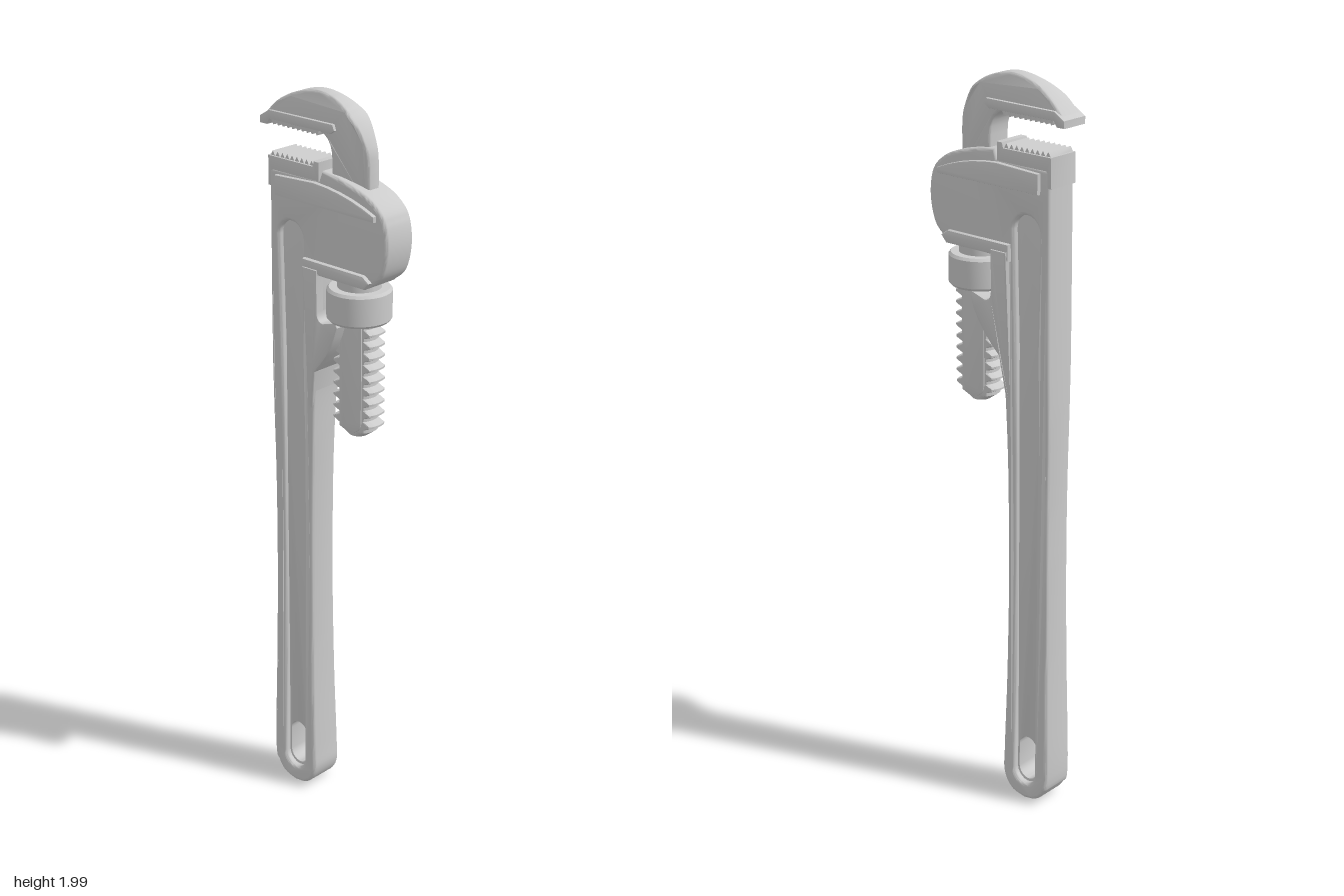
import * as THREE from 'three';
import { toCreasedNormals } from 'three/addons/utils/BufferGeometryUtils.js';

const material = new THREE.MeshStandardMaterial({ color: 0xcccccc });
const V = (list) => list.map(([x, y]) => new THREE.Vector2(x, y));

// Piecewise linear lookup through [position, value] pairs
function ramp(stops, t) {
  for (let i = 1; i < stops.length; i++) {
    const [a, va] = stops[i - 1], [b, vb] = stops[i];
    if (t <= b) return va + (vb - va) * THREE.MathUtils.clamp((t - a) / (b - a), 0, 1);
  }
  return stops[stops.length - 1][1];
}

// Slab centred on z = 0; halfAt(x, y), if given, sets the local half thickness
function slab(name, shape, half, bevel = 0.004, halfAt = null, steps = 2) {
  const g = new THREE.ExtrudeGeometry(shape, {
    depth: 2 * (half - bevel), bevelEnabled: bevel > 0, bevelThickness: bevel,
    bevelSize: bevel, bevelOffset: -bevel, bevelSegments: steps, curveSegments: 5,
  });
  g.translate(0, 0, bevel - half);
  if (halfAt) {
    const p = g.attributes.position;
    for (let i = 0; i < p.count; i++) p.setZ(i, p.getZ(i) * halfAt(p.getX(i), p.getY(i)) / half);
  }
  const mesh = new THREE.Mesh(toCreasedNormals(g, 0.6), material);
  mesh.name = name;
  return mesh;
}

// Long rounded outline around x = -0.11, with a slight waist
function stadium(Path, y0, y1, r0, r1, waist) {
  const s = new Path(), cx = -0.11, h = y1 - y0;
  s.absarc(cx, y0, r0, Math.PI, 2 * Math.PI, false);
  if (waist) for (const t of [0.2, 0.4, 0.6, 0.8]) s.lineTo(cx + waist, y0 + h * t);
  s.absarc(cx, y1, r1, 0, Math.PI, false);
  if (waist) for (const t of [0.8, 0.6, 0.4, 0.2]) s.lineTo(cx - waist, y0 + h * t);
  s.closePath();
  return s;
}

// Row of teeth; height is negative for teeth pointing down
function teeth(name, x0, x1, y, height, count, half) {
  const pts = [[x0, y - height], [x0, y]], w = (x1 - x0) / count;
  for (let i = 0; i < count; i++) {
    pts.push([x0 + (i + 0.5) * w, y + height], [x0 + (i + 1) * w, y]);
  }
  pts.push([x1, y - height]);
  return slab(name, new THREE.Shape(V(pts)), half, 0);
}

export function createModel() {
  const group = new THREE.Group();

  // Handle and head in one casting, with the long recess cut through the rim
  const body = new THREE.Shape();
  body.moveTo(-0.11, 0.008);
  body.splineThru(V([[-0.065, 0.02], [-0.036, 0.065], [-0.036, 0.15], [-0.043, 0.4],
    [-0.045, 0.8], [-0.037, 1.15], [-0.025, 1.28], [-0.005, 1.38]]));
  body.lineTo(-0.005, 1.548);
  body.lineTo(0.155, 1.548);
  body.splineThru(V([[0.198, 1.585], [0.216, 1.655], [0.206, 1.725], [0.17, 1.765], [0.12, 1.788], [0.05, 1.806]]));
  body.lineTo(-0.002, 1.812);
  body.lineTo(-0.012, 1.788);
  body.lineTo(-0.182, 1.785);
  body.splineThru(V([[-0.184, 1.2], [-0.181, 0.8], [-0.185, 0.4], [-0.19, 0.1],
    [-0.175, 0.045], [-0.15, 0.018], [-0.11, 0.008]]));
  body.holes.push(stadium(THREE.Path, 0.09, 1.62, 0.036, 0.042, 0.034));
  const thickness = [[0, 0.05], [0.2, 0.048], [0.6, 0.042], [1.0, 0.042], [1.3, 0.048], [2, 0.048]];
  group.add(slab('handleAndHead', body, 0.048, 0.009, (x, y) => ramp(thickness, y), 3));

  // Floor of the recess with the hanging slot
  const floor = stadium(THREE.Shape, 0.09, 1.62, 0.05, 0.055, 0.046);
  floor.holes.push(stadium(THREE.Path, 0.092, 0.16, 0.03, 0.03, 0));
  group.add(slab('recessFloor', floor, 0.031, 0.002));

  // Raised wedge on both faces of the head
  const wedge = new THREE.Shape(V([[-0.155, 1.722], [0.18, 1.722], [0.18, 1.737]]));
  wedge.quadraticCurveTo(0.09, 1.777, -0.02, 1.782);
  wedge.lineTo(-0.155, 1.775);
  group.add(slab('headPanel', wedge, 0.059, 0.004));

  // Ledge along the bottom of the head
  const ledge = new THREE.Shape(V([[-0.06, 1.535], [-0.005, 1.545], [0.15, 1.545],
    [0.168, 1.565], [0.145, 1.58], [-0.06, 1.58]]));
  group.add(slab('headLedge', ledge, 0.06, 0.006));

  // Bracket that supports the nut from the handle
  const bracket = new THREE.Shape(V([[-0.056, 1.15], [-0.042, 1.15], [-0.025, 1.28]]));
  bracket.quadraticCurveTo(0.045, 1.35, 0.065, 1.425);
  bracket.lineTo(0.058, 1.438);
  bracket.lineTo(0.015, 1.425);
  bracket.quadraticCurveTo(-0.005, 1.425, -0.005, 1.45);
  bracket.lineTo(-0.005, 1.56);
  bracket.lineTo(-0.056, 1.56);
  const flare = [[1.15, 0.043], [1.28, 0.055], [1.4, 0.064], [1.6, 0.064]];
  group.add(slab('nutBracket', bracket, 0.064, 0.005, (x, y) => ramp(flare, y)));

  // Fixed lower jaw
  const heel = new THREE.Shape(V([[-0.188, 1.74], [-0.175, 1.74], [-0.172, 1.782],
    [-0.012, 1.782], [-0.012, 1.832], [-0.03, 1.832], [-0.034, 1.818], [-0.188, 1.818]]));
  group.add(slab('lowerJaw', heel, 0.047, 0.003));
  group.add(teeth('lowerTeeth', -0.183, -0.032, 1.816, 0.014, 9, 0.042));

  // Hook jaw, thinner toward its outer curve
  const hook = new THREE.Shape(V([[0.02, 1.74], [0.13, 1.74], [0.13, 1.84]]));
  hook.splineThru(V([[0.123, 1.885], [0.09, 1.945], [0.04, 1.982], [-0.03, 2.0],
    [-0.1, 1.99], [-0.165, 1.96], [-0.212, 1.915]]));
  hook.lineTo(-0.2, 1.905);
  hook.lineTo(-0.02, 1.905);
  hook.quadraticCurveTo(0.02, 1.895, 0.02, 1.84);
  const taper = (x, y) => ramp([[0, 0.036], [0.5, 0.032], [1, 0.018]],
    Math.max((y - 1.91) / 0.09, (x - 0.03) / 0.1));
  group.add(slab('hookJaw', hook, 0.036, 0.007, taper, 3));
  const plate = new THREE.Shape(V([[-0.221, 1.892], [-0.198, 1.892], [-0.188, 1.907], [0.02, 1.907],
    [0.034, 1.917], [0.028, 1.932], [-0.19, 1.93], [-0.221, 1.911]]));
  group.add(slab('upperJawPlate', plate, 0.041, 0.003));
  group.add(teeth('upperTeeth', -0.186, -0.02, 1.908, -0.014, 10, 0.036));

  // Threaded shank: stacked ridges flattened front and back
  const profile = [[0, 1.122], [0.025, 1.128], [0.05, 1.146]];
  const pitch = 0.031;
  for (let y = 1.155; y < 1.5; y += pitch) {
    profile.push([0.05, y], [0.069, y + 0.009], [0.069, y + 0.014], [0.05, y + 0.023]);
  }
  profile.push([0.05, 1.56], [0, 1.56]);
  const thread = new THREE.LatheGeometry(V(profile), 64);
  const p = thread.attributes.position;
  for (let i = 0; i < p.count; i++) p.setZ(i, THREE.MathUtils.clamp(p.getZ(i), -0.029, 0.029));
  const shank = new THREE.Mesh(toCreasedNormals(thread, 0.6), material);
  shank.name = 'threadedShank';
  shank.position.x = 0.083;
  group.add(shank);

  // Smooth flat running down the shank
  const flat = slab('shankFlat', stadium(THREE.Shape, 1.175, 1.5, 0.036, 0.036, 0), 0.032, 0.003);
  flat.position.x = 0.193;
  group.add(flat);

  // Adjusting nut with its collar
  const ring = new THREE.LatheGeometry(V([[0.045, 1.44], [0.077, 1.44], [0.083, 1.447],
    [0.083, 1.519], [0.077, 1.526], [0.056, 1.526], [0.056, 1.55], [0.045, 1.55]]), 48);
  const nut = new THREE.Mesh(toCreasedNormals(ring, 0.6), material);
  nut.name = 'adjustingNut';
  nut.position.x = 0.083;
  group.add(nut);

  return group;
}
